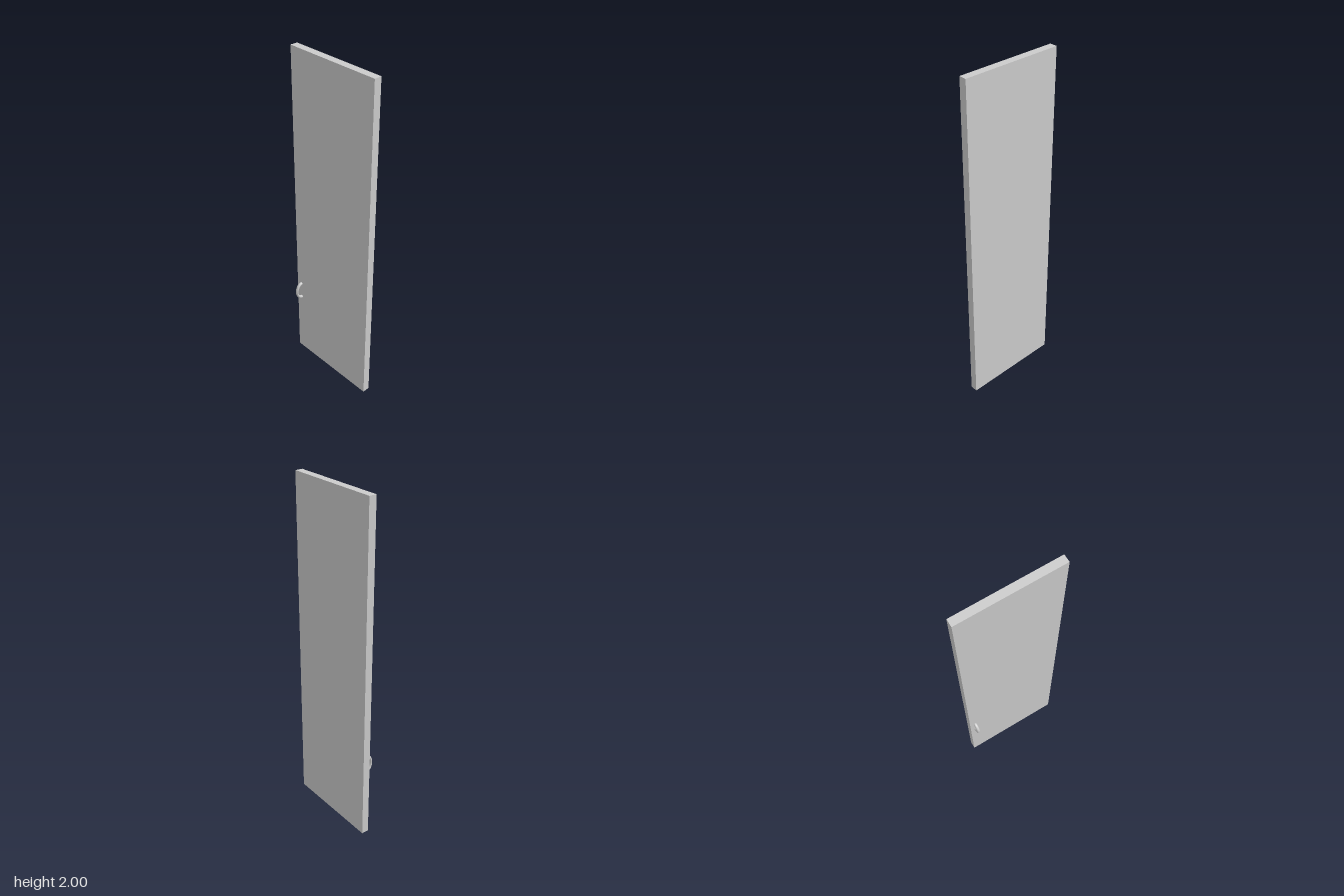
import * as THREE from 'three';

export function createModel() {
  const group = new THREE.Group();
  const material = new THREE.MeshStandardMaterial({ color: 0xcccccc });

  // Flat door panel
  const panel = new THREE.Mesh(new THREE.BoxGeometry(0.043, 2, 0.584), material);
  panel.name = 'doorPanel';
  panel.position.set(0.0215, 1, 0);
  group.add(panel);

  // Half-ring pull handle, flattened towards the panel, ends meeting its face
  const ring = new THREE.TorusGeometry(0.05, 0.0095, 12, 32, Math.PI);
  ring.rotateZ(Math.PI / 2);
  ring.scale(0.73, 1, 1);
  const handle = new THREE.Mesh(ring, material);
  handle.name = 'pullHandle';
  handle.position.set(0, 0.46, -0.259);
  group.add(handle);

  return group;
}
